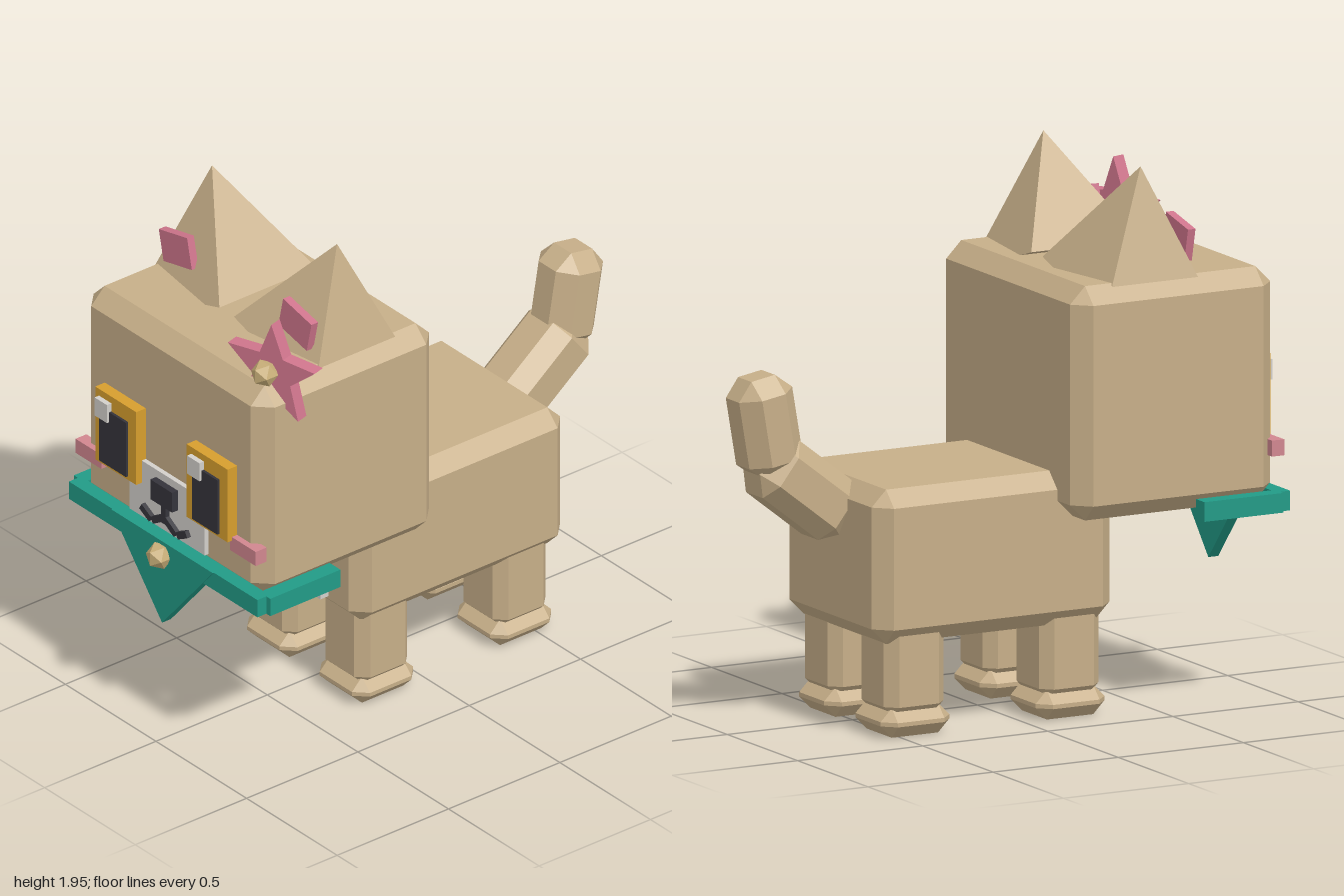
import * as THREE from 'three';
import { ConvexGeometry } from 'three/addons/geometries/ConvexGeometry.js';

const MID = -0.04; // the animal's own mirror plane

const paint = (name, color) => {
  const m = new THREE.MeshStandardMaterial({ color });
  m.name = name;
  return m;
};

export function createModel() {
  const model = new THREE.Group();
  const fur = paint('tan fur', 0xc6ae88);
  const pale = paint('pale patch', 0xd2cfca);
  const gold = paint('amber eye', 0xd69e2e);
  const dark = paint('dark', 0x35343b);
  const pink = paint('pink', 0xcf758c);
  const rose = paint('blush', 0xd0868f);
  const teal = paint('teal cloth', 0x229a86);
  const green = paint('leaf green', 0x4fae52);
  const brass = paint('brass', 0xc8ae78);

  const add = (name, geometry, material, x = 0, y = 0, z = 0) => {
    const mesh = new THREE.Mesh(geometry, material);
    mesh.name = name;
    mesh.position.set(x, y, z);
    model.add(mesh);
    return mesh;
  };

  // Box with every edge bevelled by c
  const bevelBox = (w, h, d, c) => {
    const pts = [];
    for (const sx of [-1, 1]) for (const sy of [-1, 1]) for (const sz of [-1, 1]) {
      const [x, y, z] = [w / 2, h / 2, d / 2];
      pts.push(new THREE.Vector3(sx * x, sy * (y - c), sz * (z - c)));
      pts.push(new THREE.Vector3(sx * (x - c), sy * y, sz * (z - c)));
      pts.push(new THREE.Vector3(sx * (x - c), sy * (y - c), sz * z));
    }
    return new ConvexGeometry(pts);
  };

  // Plain box given by its limits
  const block = (name, mat, x0, x1, y0, y1, z0, z1) =>
    add(name, new THREE.BoxGeometry(x1 - x0, y1 - y0, z1 - z0), mat,
      (x0 + x1) / 2, (y0 + y1) / 2, (z0 + z1) / 2);

  // Head and body
  add('head', bevelBox(1, 0.835, 0.8, 0.06), fur, MID, 1.1475, 0.5);
  add('body', bevelBox(0.7, 0.55, 0.95, 0.058), fur, MID, 0.612, -0.135);
  block('chestPatch', pale, MID - 0.18, MID + 0.18, 0.405, 0.8, 0.3, 0.375);

  // Legs and paws
  for (const s of [-1, 1]) for (const z of [0.185, -0.435]) {
    const x = MID + s * 0.2;
    add('leg', bevelBox(0.238, 0.4, 0.238, 0.04), fur, x, 0.27, z);
    add('paw', bevelBox(0.268, 0.105, 0.275, 0.045), fur, x, 0.0525, z);
  }

  // Two-part tail
  add('tailBase', bevelBox(0.24, 0.4, 0.24, 0.06), fur, MID, 0.86, -0.73).rotation.x = -0.91;
  add('tailTip', bevelBox(0.215, 0.365, 0.215, 0.06), fur, MID, 1.095, -0.875).rotation.x = -0.17;

  // Ears: leaning pyramids with an inner plate
  for (const s of [-1, 1]) {
    const p = (x, y, z) => new THREE.Vector3(MID + s * x, y, z);
    add('ear', new ConvexGeometry([
      p(0.345, 1.945, 0.435),
      p(0.04, 1.59, 0.215), p(0.04, 1.59, 0.65),
      p(0.48, 1.45, 0.215), p(0.48, 1.45, 0.65),
    ]), fur);
    add('innerEar', new THREE.BoxGeometry(0.16, 0.12, 0.03), pink, MID + s * 0.33, 1.677, 0.597)
      .rotation.z = -s * 0.22;
  }

  // Eyes, with the glint on the same side in both
  for (const s of [-1, 1]) {
    const x = MID + s * 0.252;
    block('eye', gold, x - 0.113, x + 0.113, 0.935, 1.23, 0.88, 0.943);
    block('pupil', dark, x - 0.07 + (s < 0 ? 0.06 : 0) * 0.9 - (s > 0 ? 0 : 0.065), x + 0.069, 0.95, 1.17, 0.9, 0.953);
    const g = s < 0 ? -0.35 : 0.16;
    block('eyeGlint', pale, g - 0.034, g + 0.034, 1.13, 1.203, 0.92, 0.963);
    block('cheek', rose, MID + s * 0.426 - 0.071, MID + s * 0.426 + 0.071, 0.893, 0.95, 0.875, 0.924);
  }

  // Muzzle, nose and mouth
  block('muzzle', pale, MID - 0.208, MID + 0.208, 0.8, 1.025, 0.88, 0.918);
  block('nose', dark, MID - 0.06, MID + 0.06, 0.915, 0.995, 0.9, 0.944);
  block('mouthStem', dark, MID - 0.013, MID + 0.013, 0.84, 0.93, 0.905, 0.935);
  for (const s of [-1, 1]) {
    add('mouthInner', new THREE.BoxGeometry(0.07, 0.026, 0.03), dark, MID + s * 0.034, 0.842, 0.92)
      .rotation.z = -s * 0.55;
    add('mouthOuter', new THREE.BoxGeometry(0.06, 0.026, 0.03), dark, MID + s * 0.1, 0.838, 0.92)
      .rotation.z = s * 0.5;
  }

  // Neckerchief: front band, side bands, hanging triangle, bell
  block('neckBand', teal, MID - 0.52, MID + 0.52, 0.7, 0.77, 0.88, 0.935);
  for (const s of [-1, 1]) {
    const x = MID + s * 0.512;
    block('neckBandSide', teal, x - 0.03, x + 0.03, 0.7, 0.77, 0.58, 0.895);
  }
  const flap = new THREE.Shape([[-0.28, 0.77], [0, 0.44], [0.28, 0.77]].map(([x, y]) => new THREE.Vector2(x, y)));
  add('neckFlap', new THREE.ExtrudeGeometry(flap, { depth: 0.04, bevelEnabled: false }), teal, MID, 0, 0.9);
  add('bell', new THREE.IcosahedronGeometry(0.05, 0), brass, MID, 0.717, 0.952);

  // Star flower with its centre and leaf
  const star = new THREE.Shape(Array.from({ length: 10 }, (_, i) => {
    const r = i % 2 ? 0.085 : 0.195;
    const a = Math.PI / 2 + i * Math.PI / 5;
    return new THREE.Vector2(r * Math.cos(a), r * Math.sin(a));
  }));
  const starGeo = new THREE.ExtrudeGeometry(star, { depth: 0.05, bevelEnabled: false }).translate(0, 0, -0.025);
  add('starFlower', starGeo, pink, 0.395, 1.607, 0.785).rotation.y = 0.27;
  add('flowerCentre', new THREE.IcosahedronGeometry(0.05, 0), brass, 0.397, 1.615, 0.835);
  add('leaf', new THREE.BoxGeometry(0.04, 0.025, 0.2), green, 0.315, 1.595, 0.71)
    .lookAt(0.395, 1.612, 0.772);

  return model;
}
